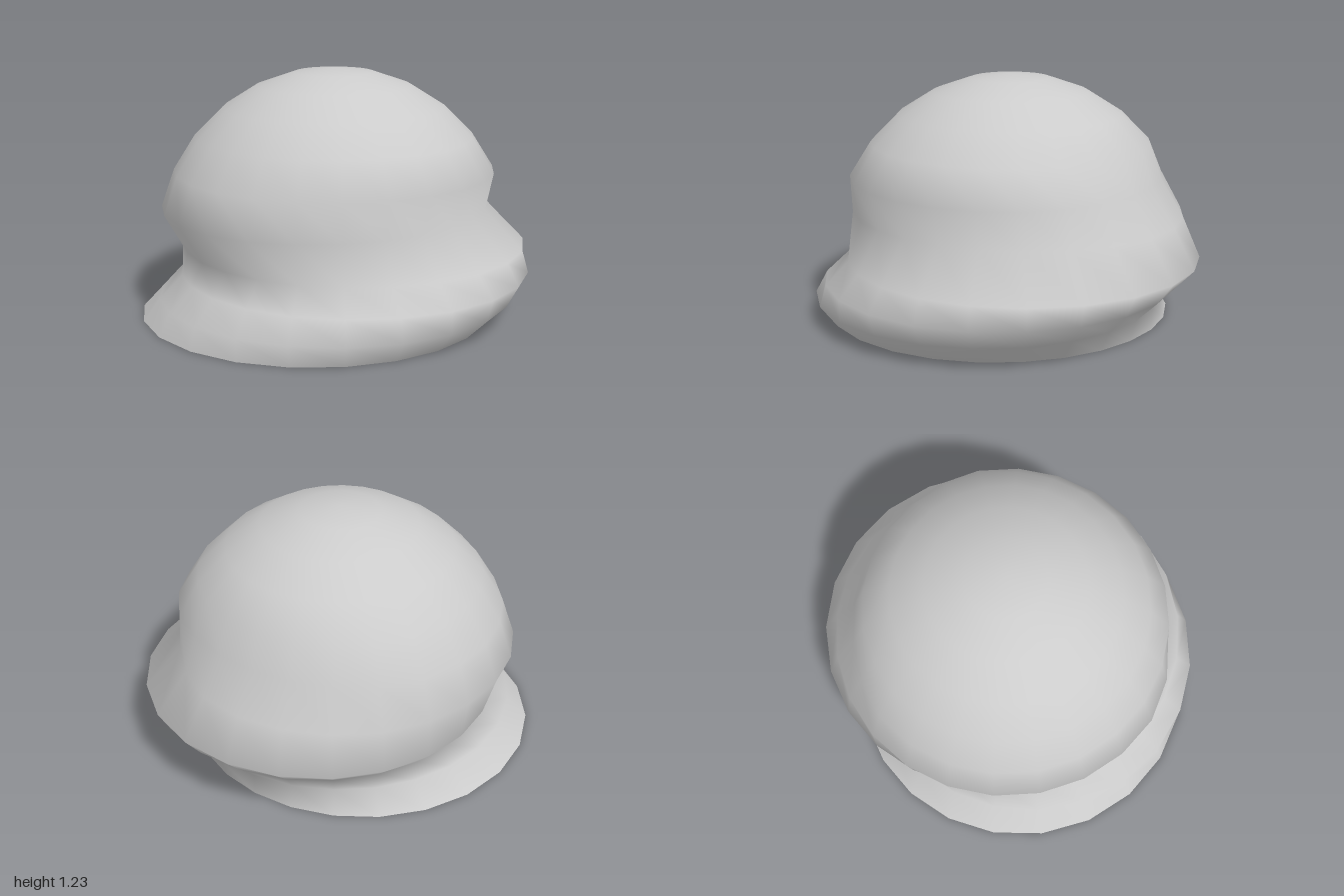
import * as THREE from 'three';
import { mergeVertices } from 'three/addons/utils/BufferGeometryUtils.js';

const SIDES = 24, BASE = 0.33, BASE_ROWS = 3, DOME_ROWS = 7;
const DOME_RADIUS = 0.9, DOME_HEIGHT = 0.9;

// Radius of the spiral swell, whose crest turns half a circle over the base
function swell(angle, y) {
  return 0.88 - 0.12 * Math.cos(angle + Math.PI * y / BASE);
}

export function createModel() {
  const group = new THREE.Group();
  group.name = 'shell';

  // Profile: straight base wall, then a quarter-ellipse dome
  const profile = [];
  for (let i = 0; i < BASE_ROWS; i++) profile.push(new THREE.Vector2(1, BASE * i / BASE_ROWS));
  for (let i = 0; i <= DOME_ROWS; i++) {
    const a = (Math.PI / 2) * i / DOME_ROWS;
    const r = i === 0 ? 1 : i === DOME_ROWS ? 0 : DOME_RADIUS * Math.cos(a);
    profile.push(new THREE.Vector2(r, BASE + DOME_HEIGHT * Math.sin(a)));
  }

  // Press the spiral groove into the turned form
  let geometry = new THREE.LatheGeometry(profile, SIDES);
  const pos = geometry.attributes.position;
  for (let i = 0; i < pos.count; i++) {
    const x = pos.getX(i), y = pos.getY(i), z = pos.getZ(i);
    const angle = Math.atan2(z, x);
    const r = Math.min(Math.hypot(x, z), swell(angle, y));
    const onBase = y < BASE + 0.01;
    const radius = onBase ? swell(angle, y) : r;
    pos.setXYZ(i, radius * Math.cos(angle), y, radius * Math.sin(angle) - 0.05);
  }

  // Weld the seam so the shading is smooth all round
  geometry.deleteAttribute('uv');
  geometry.deleteAttribute('normal');
  geometry = mergeVertices(geometry, 1e-4);
  geometry.computeVertexNormals();

  const dome = new THREE.Mesh(geometry, new THREE.MeshStandardMaterial({
    color: 0xcccccc, side: THREE.DoubleSide,
  }));
  dome.name = 'spiralDome';
  group.add(dome);
  return group;
}
